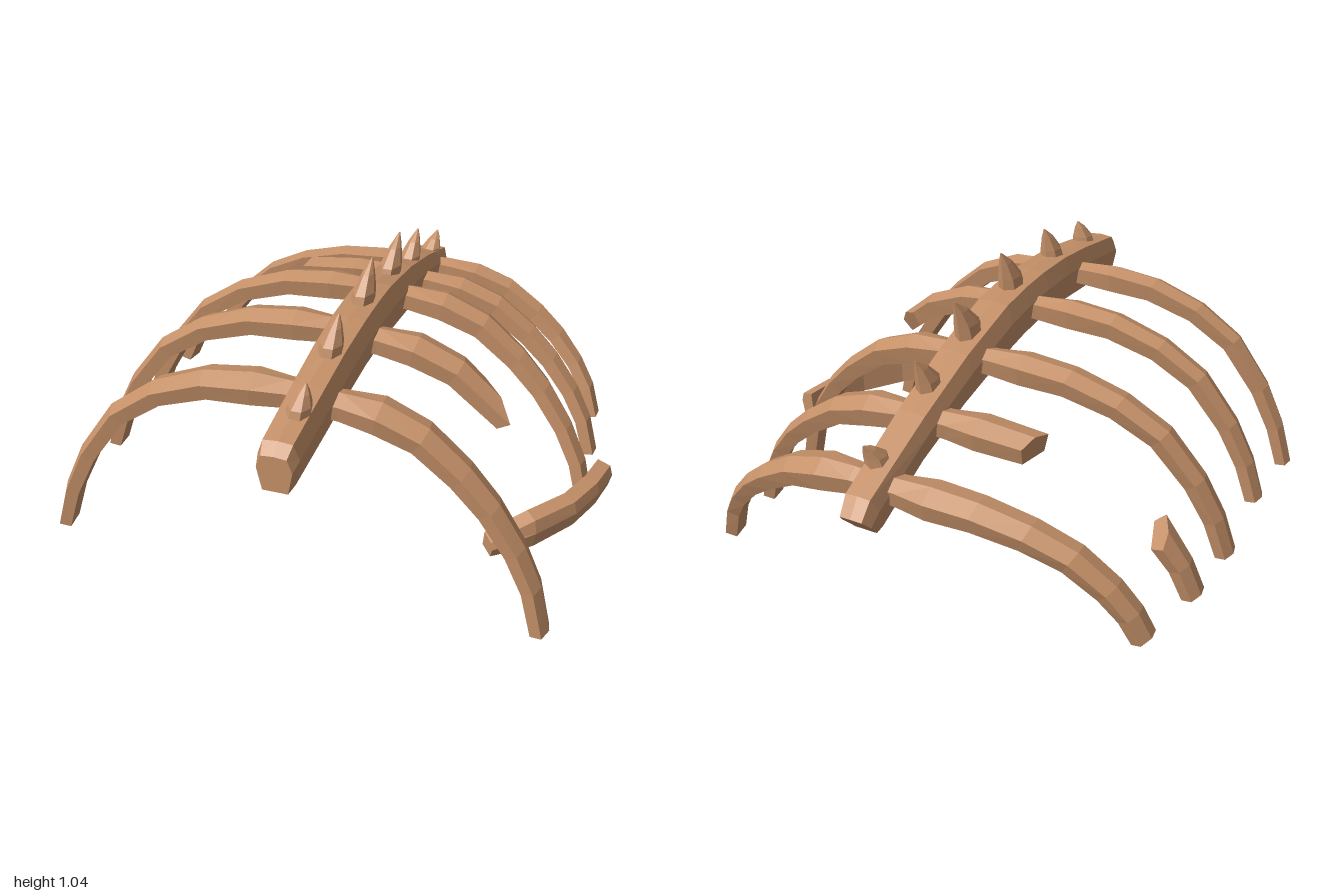
import * as THREE from 'three';

const bone = new THREE.MeshStandardMaterial({ color: 0xc49068 });
bone.name = 'bone';

// Skin a list of equal-length rings, cap both ends, keep facets flat
function loft(name, rings) {
  const tris = [];
  const n = rings[0].length;
  for (let i = 0; i < rings.length - 1; i++) {
    for (let j = 0; j < n; j++) {
      const k = (j + 1) % n, a = rings[i], b = rings[i + 1];
      tris.push([a[j], a[k], b[k]], [a[j], b[k], b[j]]);
    }
  }
  const last = rings[rings.length - 1];
  for (let j = 1; j < n - 1; j++) {
    tris.push([rings[0][0], rings[0][j + 1], rings[0][j]], [last[0], last[j], last[j + 1]]);
  }
  // Turn every face outward if the rings ran the other way
  let volume = 0;
  for (const [a, b, c] of tris) volume += a.dot(b.clone().cross(c));
  if (volume < 0) tris.forEach((t) => t.reverse());
  const geometry = new THREE.BufferGeometry().setFromPoints(tris.flat());
  geometry.computeVertexNormals();
  const mesh = new THREE.Mesh(geometry, bone);
  mesh.name = name;
  return mesh;
}

const V = (x, y, z) => new THREE.Vector3(x, y, z);
const lerp = THREE.MathUtils.lerp;

// Five-sided rib section: [across the rib, outward]
const SECTION = [[0, 0], [0.068, -0.025], [0.055, -0.095], [-0.05, -0.095], [-0.064, -0.022]];

// Half-rib profiles: [share of reach, share of height, width, thickness]
const PROFILES = {
  right: [
    [0, 0.98, 0.7, 0.8], [0.1, 0.99, 0.75, 0.9], [0.22, 1, 1, 1], [0.4, 0.97, 0.93, 0.9],
    [0.59, 0.87, 0.86, 0.8], [0.75, 0.71, 0.8, 0.75], [0.88, 0.45, 0.75, 0.7],
    [0.955, 0.22, 0.72, 0.65], [1, 0, 0.7, 0.6],
  ],
  left: [
    [0, 1, 0.7, 0.8], [0.1, 1.01, 0.75, 0.9], [0.27, 1, 1, 1], [0.46, 0.915, 0.92, 0.9],
    [0.63, 0.76, 0.86, 0.82], [0.755, 0.61, 0.8, 0.76], [0.87, 0.42, 0.75, 0.7],
    [0.95, 0.23, 0.72, 0.66], [1, 0, 0.7, 0.62],
  ],
};

function profileAt(profile, u) {
  let i = 1;
  while (i < profile.length - 1 && profile[i][0] < u) i++;
  const a = profile[i - 1], b = profile[i];
  const t = (u - a[0]) / (b[0] - a[0]);
  return a.map((v, k) => lerp(v, b[k], t));
}

// Half rib from share u0 to u1; skews slant the broken ends
function halfRib(name, r, side, { u0 = 0, u1 = 1, skew0 = 0, skew1 = 0 }) {
  const end = r[side], profile = PROFILES[side], sign = Math.sign(end.x);
  const stops = [profileAt(profile, u0), ...profile.filter((p) => p[0] > u0 + 0.02 && p[0] < u1 - 0.02), profileAt(profile, u1)];
  const pts = stops.map(([u, h]) => V(lerp(0.04, end.x, u), lerp(end.y, end.peak, h), lerp(r.z, end.z, u ** 2.8)));
  const rings = pts.map((p, i) => {
    const t = pts[Math.min(i + 1, pts.length - 1)].clone().sub(pts[Math.max(i - 1, 0)]).setZ(0).normalize();
    const out = V(-t.y * sign, t.x * sign, 0);
    const skew = i === 0 ? skew0 : i === pts.length - 1 ? skew1 : 0;
    return SECTION.map(([w, d]) => p.clone()
      .addScaledVector(out, d * stops[i][3] + w * stops[i][2] * r.tilt)
      .addScaledVector(t, w * skew)
      .add(V(0, 0, w * stops[i][2] - d * r.tilt * 0.3)));
  });
  return loft(name, rings);
}

const RIBS = [
  { z: 0.63, tilt: -0.08, right: { x: -0.965, y: 0.1, z: 0.71, peak: 0.84 }, left: { x: 0.88, y: 0.012, z: 0.665, peak: 0.81 } },
  { z: 0.215, tilt: 0, right: { x: -0.97, y: 0.17, z: 0.28, peak: 0.85 }, left: { x: 0.91, y: 0.02, z: 0.27, peak: 0.82 },
    leftParts: [{ u1: 0.62, skew1: 1.2 }] },
  { z: -0.19, tilt: 0.1, right: { x: -0.98, y: 0.14, z: -0.08, peak: 0.8 }, left: { x: 0.91, y: 0.03, z: -0.08, peak: 0.78 } },
  { z: -0.51, tilt: 0.16, right: { x: -0.97, y: 0.17, z: -0.4, peak: 0.7 }, left: { x: 0.88, y: 0.04, z: -0.4, peak: 0.68 },
    rightParts: [{ u1: 0.42, skew1: 0.3 }, { u0: 0.88, skew0: -0.6 }] },
  { z: -0.82, tilt: 0.2, right: { x: -0.91, y: 0.18, z: -0.7, peak: 0.6 }, left: { x: 0.85, y: 0.04, z: -0.675, peak: 0.59 } },
];

// Spine stations: [z top, y top, z bottom, y bottom, centre x, half width]
const SPINE = [
  [1, 0.8, 1, 0.665, 0.03, 0.06], [0.96, 0.832, 0.95, 0.668, 0.03, 0.07], [0.7, 0.875, 0.7, 0.695, 0.037, 0.076],
  [0.5, 0.9, 0.5, 0.712, 0.04, 0.08], [0.3, 0.908, 0.3, 0.72, 0.042, 0.084], [0.15, 0.903, 0.14, 0.71, 0.043, 0.085],
  [0, 0.888, -0.02, 0.69, 0.043, 0.086], [-0.3, 0.815, -0.33, 0.628, 0.04, 0.08],
  [-0.6, 0.715, -0.62, 0.55, 0.034, 0.073], [-0.95, 0.58, -0.88, 0.44, 0.027, 0.065], [-1, 0.52, -0.915, 0.43, 0.025, 0.058],
];
// Spine section: [share of half width, share of the way down]
const SPINE_SECTION = [[-0.72, 0.03], [0, 0], [0.72, 0.03], [1, 0.38], [0.72, 1], [-0.72, 1], [-1, 0.38]];

// Spikes: [base front z, base back z, tip z, tip y, base y]
const SPIKES = [
  [0.87, 0.76, 0.785, 0.94, 0.85], [0.57, 0.45, 0.463, 1.012, 0.885], [0.23, 0.085, 0.098, 1.038, 0.885],
  [-0.1, -0.25, -0.25, 0.975, 0.83], [-0.39, -0.52, -0.52, 0.865, 0.74], [-0.74, -0.845, -0.85, 0.705, 0.635],
];

export function createModel() {
  const model = new THREE.Group();
  model.name = 'ribCage';

  model.add(loft('spine', SPINE.map(([zt, yt, zb, yb, x, w]) =>
    SPINE_SECTION.map(([a, d]) => V(x + a * w, lerp(yt, yb, d), lerp(zt, zb, d))))));

  RIBS.forEach((r, i) => {
    for (const side of ['left', 'right']) {
      for (const part of r[side + 'Parts'] ?? [{}]) model.add(halfRib(`${side}Rib${i + 1}`, r, side, part));
    }
  });

  // Backward-leaning spikes with a bulged front
  SPIKES.forEach(([zf, zb, zt, yt, y0], i) => {
    const mid = (zf + zb) / 2, half = (zf - zb) / 2;
    const rings = [[0, 1, 0], [0.4, 0.86, 0.15], [0.75, 0.48, 0.55], [1, 0.06, 1]].map(([h, s, lean]) =>
      Array.from({ length: 7 }, (_, j) => {
        const a = (j / 7) * Math.PI * 2 + 0.2;
        return V(0.042 + 0.02 * h + Math.cos(a) * 0.046 * s, lerp(y0 - 0.02, yt, h), lerp(mid, zt, lean) + Math.sin(a) * half * s);
      }));
    model.add(loft(`spike${i + 1}`, rings));
  });

  // Loose rib piece lying beside the cage: [x, z, top y, bottom y]
  const piece = [[0.622, 0.537, 0.262, 0.19], [0.75, 0.43, 0.308, 0.182], [0.86, 0.275, 0.295, 0.18], [0.917, 0.13, 0.285, 0.175], [0.946, 0, 0.275, 0.172]];
  model.add(loft('loosePiece', piece.map(([x, z, top, bottom], i) => {
    const a = piece[Math.max(i - 1, 0)], b = piece[Math.min(i + 1, 4)];
    const out = V(a[1] - b[1], 0, b[0] - a[0]).normalize();
    const at = (o, y) => V(x, y, z).addScaledVector(out, o);
    const midY = lerp(bottom, top, 0.5);
    return [at(-0.026, top), at(0.024, top - 0.012), at(0.036, midY), at(0.024, bottom), at(-0.034, bottom + 0.01)];
  })));

  return model;
}
